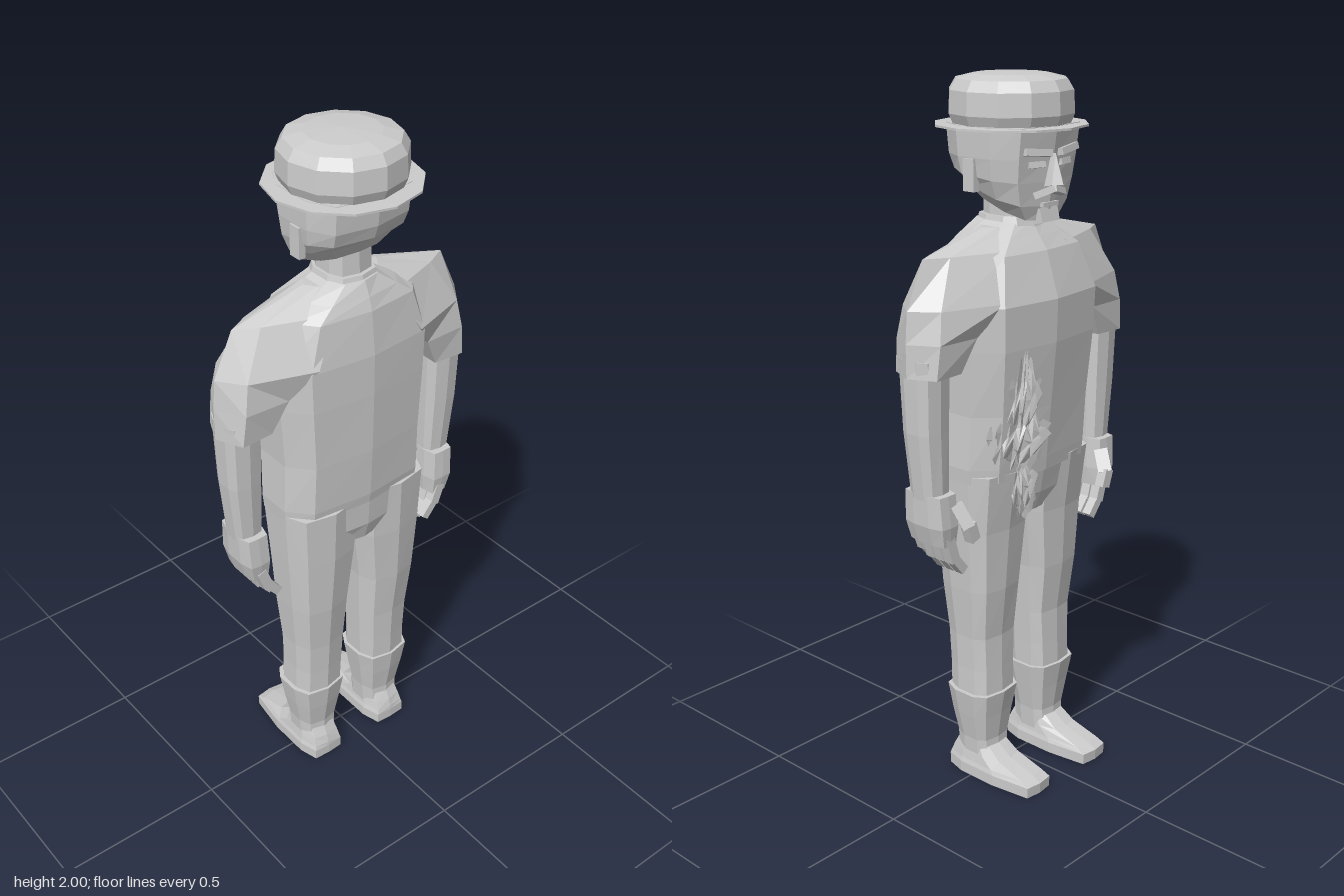
import * as THREE from 'three';

const grey = new THREE.MeshStandardMaterial({ color: 0xcccccc, flatShading: true });
grey.name = 'plain grey';

function mesh(name, geometry) {
  const m = new THREE.Mesh(geometry, grey);
  m.name = name;
  return m;
}

// Closed skin over rings of points, ordered from bottom to top
function loft(name, rings) {
  const n = rings[0].length, pos = [], idx = [];
  rings.forEach(r => r.forEach(p => pos.push(...p)));
  for (let i = 0; i < rings.length - 1; i++) {
    for (let j = 0; j < n; j++) {
      const a = i * n + j, b = i * n + (j + 1) % n;
      idx.push(a, b, b + n, a, b + n, a + n);
    }
  }
  const top = (rings.length - 1) * n;
  for (let j = 1; j < n - 1; j++) {
    idx.push(0, j + 1, j);
    idx.push(top, top + j, top + j + 1);
  }
  const g = new THREE.BufferGeometry();
  g.setAttribute('position', new THREE.Float32BufferAttribute(pos, 3));
  g.setIndex(idx);
  const flat = g.toNonIndexed();
  flat.computeVertexNormals();
  return mesh(name, flat);
}

// Ten-sided cross-section: height, centre x, half width, back z, front z.
// square = 1 gives full corners; tilt slopes the ring along z.
function ring(y, cx, w, b, f, square = 0.86, tilt = 0) {
  const half = [[0, b], [w * 0.76, b * square], [w, b * 0.4],
    [w, f * 0.4], [w * 0.74, f * square], [0, f]];
  const all = [...half, ...half.slice(1, 5).reverse().map(([x, z]) => [-x, z])];
  return all.map(([x, z]) => [cx + x, y + z * tilt, z]);
}

// Rectangular block between two points
function bar(name, from, to, w, d) {
  const a = new THREE.Vector3(...from), b = new THREE.Vector3(...to);
  const m = mesh(name, new THREE.BoxGeometry(w, a.distanceTo(b), d));
  m.position.copy(a).lerp(b, 0.5);
  m.quaternion.setFromUnitVectors(new THREE.Vector3(0, 1, 0), b.sub(a).normalize());
  return m;
}

function box(name, x, y, z, w, h, d, rx = 0) {
  const m = mesh(name, new THREE.BoxGeometry(w, h, d));
  m.position.set(x, y, z);
  m.rotation.x = rx;
  return m;
}

function makeArm() {
  const arm = new THREE.Group();
  // Sleeve rings: y, outer x, middle x and z, inner x and z
  const sleeve = [
    [1.255, 0.41, 0.375, 0.076, 0.28, 0.07],
    [1.345, 0.41, 0.365, 0.08, 0.235, 0.085],
    [1.43, 0.403, 0.35, 0.07, 0.17, 0.13],
    [1.555, 0.345, 0.28, 0.035, 0.1, 0.1],
    [1.607, 0.12, 0.1, 0.03, 0.04, 0.05],
  ].map(([y, xo, xm, zm, xi, zi]) =>
    [[xi, y, zi], [xm, y, zm], [xo, y, 0], [xm, y, -zm], [xi, y, -zi]]);
  arm.add(loft('sleeve', sleeve));
  arm.add(loft('forearm', [
    ring(0.915, 0.335, 0.04, 0.045, -0.05),
    ring(1.1, 0.343, 0.05, 0.055, -0.055),
    ring(1.3, 0.345, 0.054, 0.062, -0.062),
  ]));
  arm.add(loft('hand', [
    ring(0.785, 0.325, 0.03, 0.062, -0.066, 0.97),
    ring(0.84, 0.33, 0.04, 0.07, -0.074, 0.97),
    ring(0.93, 0.333, 0.04, 0.064, -0.068, 0.97),
  ]));
  // Curled fingers
  for (let i = 0; i < 4; i++) {
    const z = -0.053 + i * 0.035, drop = i === 3 ? 0.015 : 0;
    arm.add(bar('finger', [0.327, 0.81, z], [0.305, 0.735 + drop, z], 0.03, 0.03));
    arm.add(bar('fingertip', [0.308, 0.745 + drop, z], [0.27, 0.698 + drop, z], 0.026, 0.028));
  }
  arm.add(bar('thumb', [0.305, 0.9, -0.07], [0.29, 0.84, -0.1], 0.04, 0.035));
  arm.add(bar('thumbTip', [0.292, 0.85, -0.1], [0.275, 0.8, -0.1], 0.032, 0.03));
  return arm;
}

function makeLeg() {
  const leg = new THREE.Group();
  leg.add(loft('trouserLeg', [
    ring(0.26, 0.123, 0.075, 0.092, -0.066),
    ring(0.35, 0.121, 0.076, 0.095, -0.064),
    ring(0.45, 0.12, 0.08, 0.1, -0.062),
    ring(0.6, 0.123, 0.09, 0.115, -0.08),
    ring(0.78, 0.118, 0.107, 0.125, -0.09),
    ring(0.95, 0.117, 0.117, 0.13, -0.112),
  ]));
  leg.add(loft('bootShaft', [
    ring(0.05, 0.123, 0.056, 0.078, -0.055),
    ring(0.12, 0.123, 0.06, 0.076, -0.05),
    ring(0.2, 0.124, 0.074, 0.09, -0.062),
    ring(0.275, 0.124, 0.086, 0.1, -0.076),
  ]));
  leg.add(loft('shoe', [
    ring(0, 0.125, 0.064, 0.1, -0.213, 0.97),
    ring(0.032, 0.125, 0.064, 0.1, -0.215, 0.97),
    ring(0.045, 0.125, 0.06, 0.098, -0.19, 0.95),
    ring(0.07, 0.125, 0.056, 0.09, -0.1, 0.92),
    ring(0.1, 0.125, 0.05, 0.075, -0.055, 0.9),
  ]));
  return leg;
}

function makeHead() {
  const head = new THREE.Group();
  head.add(loft('neck', [
    ring(1.56, 0, 0.064, 0.08, -0.058),
    ring(1.74, 0, 0.06, 0.076, -0.055),
  ]));
  head.add(loft('skull', [
    ring(1.665, 0, 0.088, 0.078, -0.118, 0.84, 0.36),
    ring(1.7, 0, 0.125, 0.105, -0.125, 0.84, 0.3),
    ring(1.74, 0, 0.145, 0.135, -0.132, 0.84, 0.1),
    ring(1.79, 0, 0.152, 0.148, -0.138),
    ring(1.87, 0, 0.155, 0.157, -0.15),
  ]));
  // Face
  head.add(loft('nose', [
    [[0.024, 1.715, -0.12], [0.02, 1.72, -0.15], [0, 1.722, -0.172], [-0.02, 1.72, -0.15], [-0.024, 1.715, -0.12]],
    [[0.01, 1.8, -0.12], [0.009, 1.8, -0.138], [0, 1.8, -0.145], [-0.009, 1.8, -0.138], [-0.01, 1.8, -0.12]],
  ]));
  head.add(box('lowerLip', 0, 1.668, -0.12, 0.06, 0.012, 0.02));
  head.add(box('chinBeard', 0, 1.638, -0.112, 0.07, 0.038, 0.03, 0.25));
  for (const s of [-1, 1]) {
    head.add(box('ear', s * 0.148, 1.745, 0.017, 0.02, 0.085, 0.038));
    head.add(bar('moustache', [0, 1.708, -0.137], [s * 0.06, 1.692, -0.118], 0.018, 0.02));
    head.add(bar('brow', [s * 0.018, 1.802, -0.142], [s * 0.1, 1.81, -0.126], 0.018, 0.022));
    head.add(bar('eye', [s * 0.03, 1.774, -0.132], [s * 0.08, 1.774, -0.12], 0.016, 0.015));
  }
  return head;
}

function lathe(name, points) {
  const m = mesh(name, new THREE.LatheGeometry(points.map(p => new THREE.Vector2(...p)), 12));
  m.position.z = 0.01;
  return m;
}

// Crumpled cloth: a flattened ball whose meridians are folded into pleats
function crumple(name, x, y, z, w, h, d, turn) {
  const n = 30, rows = 8, rings = [];
  for (let i = 0; i <= rows; i++) {
    const t = 0.08 + 0.84 * i / rows;
    const pts = [];
    for (let j = 0; j < n; j++) {
      const a = j / n * Math.PI * 2;
      const fold = (j % 2 ? 0.74 : 1) + 0.14 * Math.sin(j * 5.3 + i * 2.1);
      const r = Math.sin(Math.PI * t) * fold;
      pts.push([w * r * Math.sin(a), (t - 0.5) * h + 0.02 * Math.sin(j * 2.7 + i), d * r * Math.cos(a)]);
    }
    rings.push(pts);
  }
  const m = loft(name, rings);
  m.position.set(x, y, z);
  m.rotation.set(-0.1, -0.22, turn);
  return m;
}

export function createModel() {
  const model = new THREE.Group();
  model.name = 'standingManInHat';

  // Trunk
  model.add(loft('pelvis', [
    ring(0.805, 0, 0.12, 0.11, -0.08),
    ring(0.86, 0, 0.215, 0.126, -0.1),
    ring(0.95, 0, 0.232, 0.13, -0.115),
  ]));
  model.add(loft('shirt', [
    ring(0.93, 0, 0.233, 0.128, -0.118),
    ring(0.97, 0, 0.236, 0.134, -0.122),
    ring(1.12, 0, 0.232, 0.14, -0.136),
    ring(1.3, 0, 0.243, 0.143, -0.154),
    ring(1.42, 0, 0.248, 0.143, -0.158),
    ring(1.545, 0, 0.2, 0.13, -0.118),
    ring(1.58, 0, 0.14, 0.118, -0.092),
    ring(1.62, 0, 0.07, 0.1, -0.062),
  ]));
  model.add(loft('collar', [
    ring(1.595, 0, 0.08, 0.1, -0.078),
    ring(1.632, 0, 0.07, 0.09, -0.064),
  ]));

  // Limbs, mirrored
  for (const [side, s] of [['left', 1], ['right', -1]]) {
    const arm = makeArm(), leg = makeLeg();
    arm.name = side + 'Arm';
    leg.name = side + 'Leg';
    arm.scale.x = leg.scale.x = s;
    model.add(arm, leg);
  }

  const head = makeHead();
  head.name = 'head';
  model.add(head);

  // Hat
  model.add(lathe('hatBrim', [[0, 1.861], [0.207, 1.862], [0.207, 1.868], [0, 1.872]]));
  model.add(lathe('hatCrown', [[0.158, 1.866], [0.17, 1.895], [0.167, 1.955], [0.15, 1.983], [0.1, 1.995], [0, 2.0]]));

  // Crumpled cloth hanging at the belly
  model.add(crumple('clothUpper', 0.105, 1.15, -0.118, 0.06, 0.32, 0.03, 0));
  model.add(crumple('clothMiddle', 0.105, 1.04, -0.105, 0.1, 0.22, 0.038, 0.1));
  model.add(crumple('clothLower', 0.085, 0.9, -0.09, 0.06, 0.22, 0.034, -0.2));

  return model;
}
